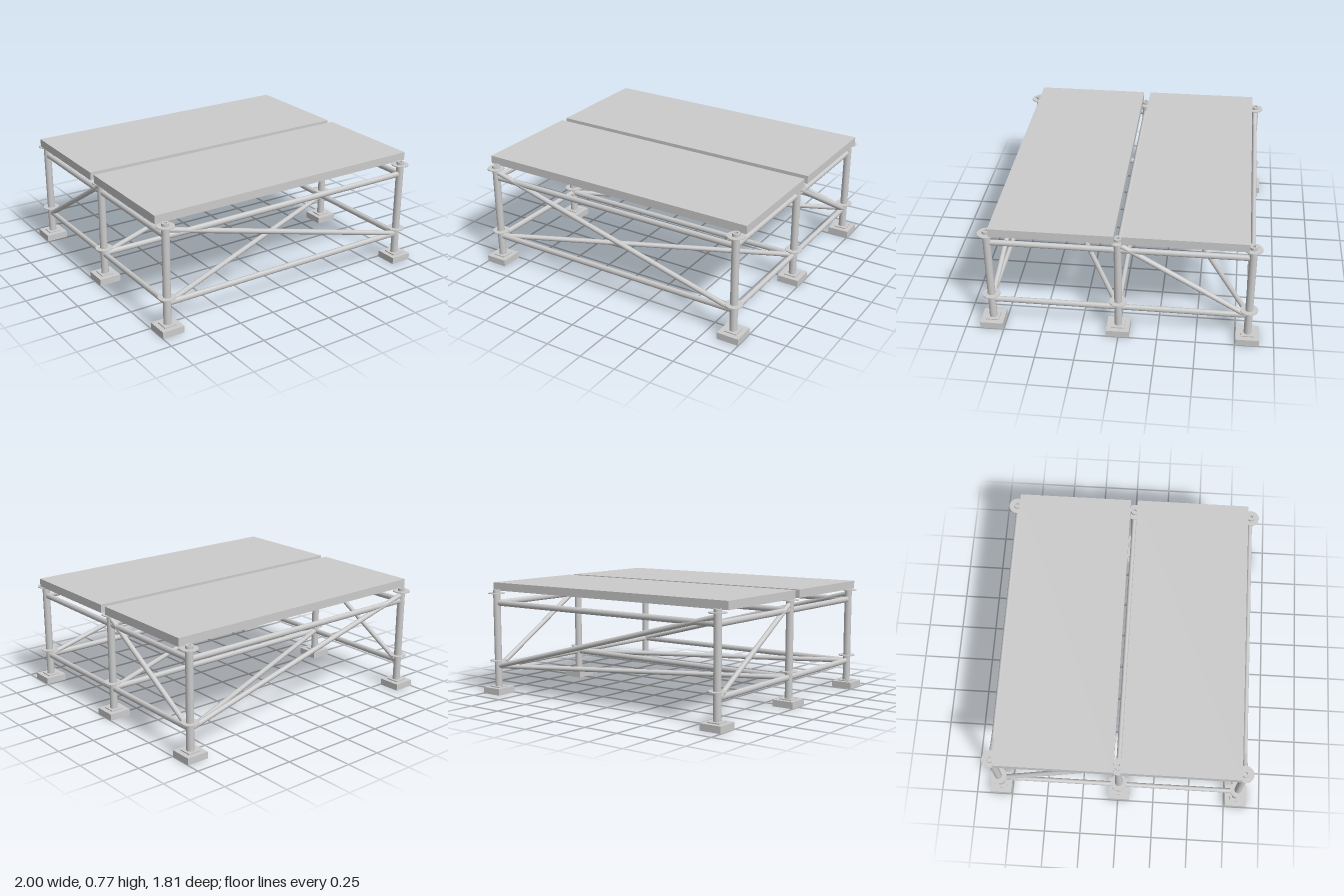
import * as THREE from 'three';

const X = 0.925;                    // post rows
const ROWS = [0.83, 0.005, -0.83];  // front, middle, back
const HIGH = 0.636, LOW = 0.191;    // ledger heights

export function createModel() {
  const model = new THREE.Group();
  const material = new THREE.MeshStandardMaterial({ color: 0xcccccc });

  const add = (parent, name, geometry, x = 0, y = 0, z = 0) => {
    const mesh = new THREE.Mesh(geometry, material);
    mesh.name = name;
    mesh.position.set(x, y, z);
    parent.add(mesh);
    return mesh;
  };

  // A straight tube between two points, optionally flattened sideways
  const tube = (name, a, b, radius, flat = 1) => {
    const from = new THREE.Vector3(...a), to = new THREE.Vector3(...b);
    const geometry = new THREE.CylinderGeometry(radius, radius, from.distanceTo(to), 20);
    geometry.rotateX(Math.PI / 2);
    geometry.scale(flat, 1, 1);
    const mesh = add(model, name, geometry);
    mesh.position.copy(from).lerp(to, 0.5);
    mesh.lookAt(to);
  };

  // Hollow-topped post profile, with doubled corners for crisp rims
  const profile = [[0.025, 0.045], [0.025, 0.725], [0.025, 0.725], [0.012, 0.725],
    [0.012, 0.725], [0.012, 0.66], [0.012, 0.66], [0, 0.66]]
    .map(([r, y]) => new THREE.Vector2(r, y));
  const postGeometry = new THREE.LatheGeometry(profile, 28);
  const discGeometry = new THREE.CylinderGeometry(0.057, 0.057, 0.006, 32);
  const footGeometry = new THREE.BoxGeometry(0.15, 0.045, 0.15);
  const plateGeometry = new THREE.BoxGeometry(0.085, 0.007, 0.085);

  // Posts with feet and connector discs
  for (const z of ROWS) {
    for (const x of [-X, X]) {
      const post = new THREE.Group();
      post.name = 'postAssembly';
      post.position.set(x, 0, z);
      add(post, 'post', postGeometry);
      add(post, 'foot', footGeometry, 0, 0.0225);
      add(post, 'footPlate', plateGeometry, 0, 0.0485);
      for (const y of [0.232, 0.703]) add(post, 'connectorDisc', discGeometry, 0, y);
      model.add(post);
    }
  }

  // Ledgers across the width; the back row is open at the bottom
  ROWS.forEach((z, i) => {
    for (const y of i === 2 ? [HIGH] : [HIGH, LOW]) {
      tube('widthLedger', [-X + 0.015, y, z], [X - 0.015, y, z], 0.02, 0.8);
    }
  });

  // Ledgers along both sides
  for (const x of [-X, X]) {
    for (const y of [HIGH, LOW]) {
      for (const i of [0, 1]) {
        tube('sideLedger', [x, y, ROWS[i] - 0.015], [x, y, ROWS[i + 1] + 0.015], 0.02, 0.8);
      }
    }
  }

  // Diagonal braces on the front and back
  for (const z of [ROWS[0], ROWS[2]]) {
    tube('faceBrace', [-X + 0.015, 0.675, z], [X - 0.015, 0.195, z], 0.017);
  }

  // Diagonal braces on the rear bay of each side
  for (const x of [-X, X]) {
    tube('sideBrace', [x, 0.675, ROWS[1] - 0.01], [x, 0.19, ROWS[2] + 0.015], 0.017);
  }

  // Horizontal braces across each bay at the lower level
  for (const i of [0, 1]) {
    const left = i === 0 ? ROWS[0] : ROWS[1], right = i === 0 ? ROWS[1] : ROWS[2];
    tube('planBrace', [-X + 0.01, LOW, left - 0.005], [X - 0.01, LOW, right + 0.005], 0.017);
  }

  // Two deck panels with a gap between them
  for (const side of [1, -1]) {
    add(model, 'deckPanel', new THREE.BoxGeometry(1.965, 0.055, 0.781), 0, 0.7455, side * 0.4145);
  }

  return model;
}
